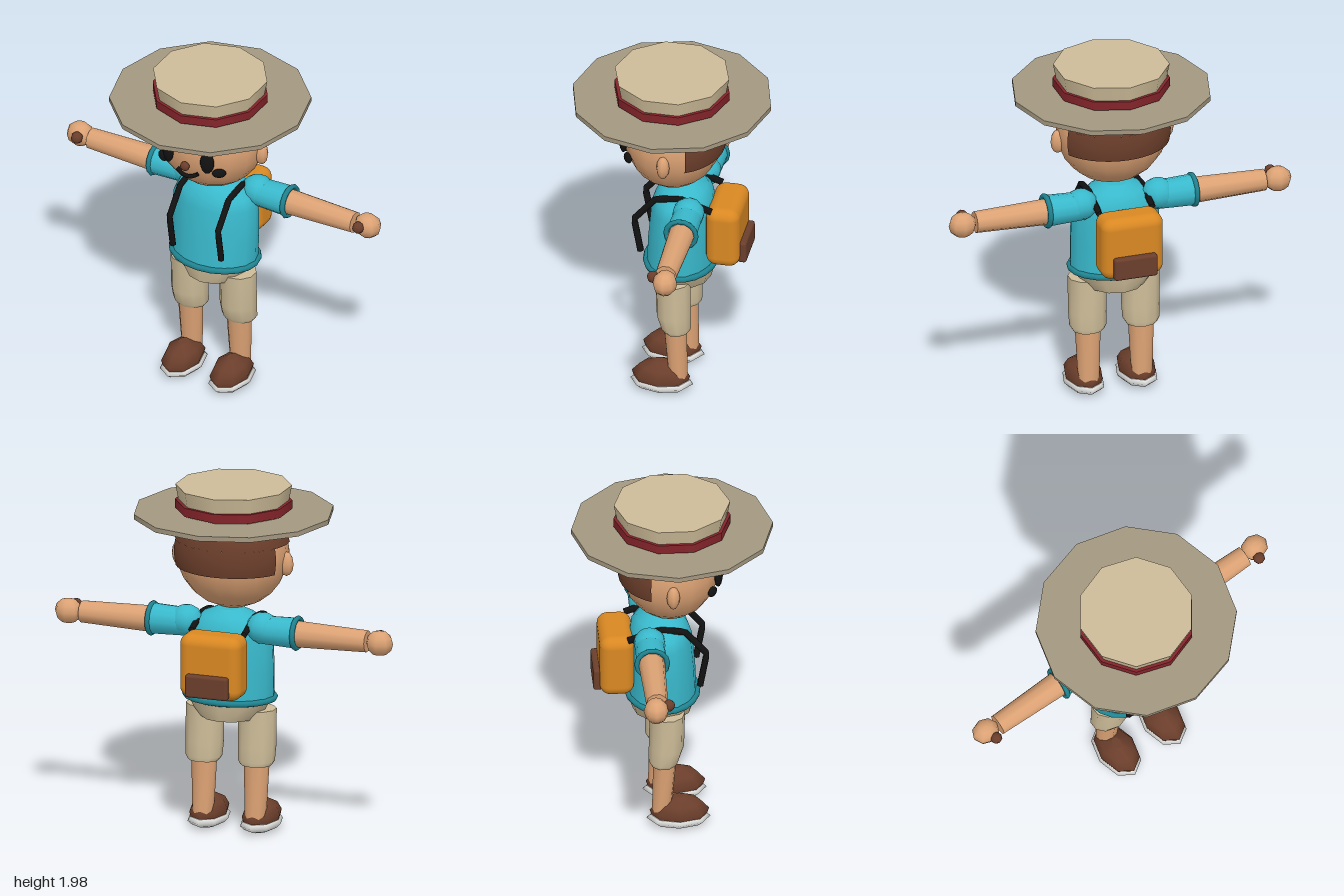
import * as THREE from 'three';
import { RoundedBoxGeometry } from 'three/addons/geometries/RoundedBoxGeometry.js';

const material = (name, color, side = THREE.FrontSide) =>
  Object.assign(new THREE.MeshStandardMaterial({ color, side }), { name });

// Lofts elliptical rings [y, rx, rz, centreZ] from bottom to top, with flat caps.
function loft(rings, sides) {
  const pos = [], index = [];
  const addRing = ([y, rx, rz, cz = 0]) => {
    for (let i = 0; i < sides; i++) {
      const a = (i / sides) * Math.PI * 2;
      pos.push(rx * Math.sin(a), y, cz + rz * Math.cos(a));
    }
  };
  rings.forEach(addRing);
  for (let r = 0; r < rings.length - 1; r++) {
    for (let i = 0; i < sides; i++) {
      const j = (i + 1) % sides, a = r * sides, b = a + sides;
      index.push(a + i, a + j, b + j, a + i, b + j, b + i);
    }
  }
  for (const top of [false, true]) {
    const start = pos.length / 3;
    addRing(top ? rings[rings.length - 1] : rings[0]);
    for (let i = 1; i < sides - 1; i++) {
      index.push(start, start + (top ? i : i + 1), start + (top ? i + 1 : i));
    }
  }
  const g = new THREE.BufferGeometry();
  g.setAttribute('position', new THREE.Float32BufferAttribute(pos, 3));
  g.setIndex(index);
  g.computeVertexNormals();
  return g;
}

const ball = (rx, ry, rz, w = 12, h = 8) => new THREE.SphereGeometry(1, w, h).scale(rx, ry, rz);

function tube(points, radius, segments = 12, smooth = true) {
  const pts = points.map((p) => new THREE.Vector3(...p));
  let curve = new THREE.CatmullRomCurve3(pts);
  if (!smooth) {
    curve = new THREE.CurvePath();
    for (let i = 1; i < pts.length; i++) curve.add(new THREE.LineCurve3(pts[i - 1], pts[i]));
  }
  return new THREE.TubeGeometry(curve, segments, radius, 6);
}

export function createModel() {
  const model = new THREE.Group();
  model.name = 'hikerFigure';
  const skin = material('skin', 0xdca274);
  const shirt = material('shirt', 0x39b9cc);
  const trim = material('shirtTrim', 0x1f8491);
  const tan = material('tanCloth', 0xcdbc98);
  const brimCloth = material('brimCloth', 0xa39780);
  const brown = material('brown', 0x6b3e2b, THREE.DoubleSide);
  const black = material('black', 0x121212, THREE.DoubleSide);
  const red = material('hatBandRed', 0x84242a);
  const orange = material('packOrange', 0xd98822);
  const white = material('soleWhite', 0xe6e6e4);

  const add = (name, geometry, mat, x = 0, y = 0, z = 0) => {
    const mesh = new THREE.Mesh(geometry, mat);
    mesh.name = name;
    mesh.position.set(x, y, z);
    model.add(mesh);
    return mesh;
  };

  // Hat
  add('hatBrim', new THREE.CylinderGeometry(0.56, 0.56, 0.028, 12), brimCloth, 0, 1.815);
  add('hatCrown', new THREE.CylinderGeometry(0.323, 0.295, 0.15, 10), tan, 0, 1.9);
  add('hatBand', new THREE.CylinderGeometry(0.325, 0.325, 0.05, 10), red, 0, 1.865);

  // Head and hair: a cap over the crown plus a lower panel at the back
  const headZ = -0.015;
  add('head', ball(0.32, 0.32, 0.28, 16, 12), skin, 0, 1.6, headZ);
  const hairPanel = (name, phi, t0, t1) => add(name,
    new THREE.SphereGeometry(1, 14, 4, Math.PI + phi, Math.PI - 2 * phi, t0, t1 - t0)
      .scale(0.332, 0.332, 0.292), brown, 0, 1.6, headZ);
  hairPanel('hairCap', -0.17, 0.6, 1.36);
  hairPanel('hairBack', 0.43, 1.36, 1.82);

  // Face centre
  add('nose', ball(0.028, 0.028, 0.022), brown, 0, 1.53, 0.28);
  add('mouth', tube([[-0.065, 1.48, 0.248], [-0.035, 1.462, 0.256], [0, 1.456, 0.26],
    [0.035, 1.462, 0.256], [0.065, 1.48, 0.248]], 0.012), black);

  // Torso, hem and hips
  add('torso', loft([[0.78, 0.255, 0.19, -0.055], [0.95, 0.257, 0.185, -0.057],
    [1.14, 0.253, 0.175, -0.065], [1.2, 0.225, 0.16, -0.07], [1.255, 0.155, 0.13, -0.07],
    [1.29, 0.07, 0.07, -0.07]], 16), shirt);
  add('shirtHem', new THREE.TorusGeometry(1, 0.09, 8, 20).rotateX(Math.PI / 2)
    .scale(0.25, 0.2, 0.195), trim, 0, 0.78, -0.055);
  add('shortsHips', loft([[0.665, 0.165, 0.165, -0.055], [0.72, 0.21, 0.178, -0.058],
    [0.79, 0.25, 0.185, -0.06]], 12), tan);

  // Backpack
  add('backpack', new RoundedBoxGeometry(0.36, 0.365, 0.19, 4, 0.06), orange, 0, 1.02, -0.315);
  add('backpackPocket', new RoundedBoxGeometry(0.25, 0.13, 0.05, 2, 0.015), brown, 0, 0.92, -0.42);

  for (const s of [1, -1]) {
    const side = s > 0 ? 'left' : 'right';

    // Ear and face details
    add(side + 'Ear', ball(0.042, 0.07, 0.037, 8, 6), skin, s * 0.318, 1.555, -0.015);
    add(side + 'Eye', ball(0.04, 0.07, 0.022), black, s * 0.125, 1.575, 0.25)
      .rotation.y = s * 0.35;
    add(side + 'Cheek', ball(0.04, 0.028, 0.02), black, s * 0.18, 1.503, 0.212)
      .rotation.y = s * 0.55;
    add(side + 'Brow', tube([[s * 0.078, 1.658, 0.253], [s * 0.103, 1.672, 0.248],
      [s * 0.132, 1.654, 0.243]], 0.011, 8), black);

    // Arm: shoulder puff, sleeve, cuff, forearm, hand and thumb
    const alongX = (top, bottom, length, n) =>
      new THREE.CylinderGeometry(top, bottom, length, n).rotateZ(-s * Math.PI / 2);
    add(side + 'Shoulder', ball(0.095, 0.088, 0.09, 10, 8), shirt, s * 0.225, 1.21, -0.14);
    add(side + 'Sleeve', alongX(0.088, 0.08, 0.22, 12), shirt, s * 0.32, 1.2, -0.14);
    add(side + 'Cuff', new THREE.TorusGeometry(0.085, 0.015, 6, 14).rotateY(Math.PI / 2),
      trim, s * 0.428, 1.2, -0.14);
    add(side + 'Arm', alongX(0.061, 0.075, 0.46, 10), skin, s * 0.615, 1.196, -0.142);
    add(side + 'Hand', ball(0.08, 0.072, 0.07, 8, 6), skin, s * 0.92, 1.196, -0.152);
    add(side + 'Thumb', ball(0.034, 0.034, 0.034, 8, 6), brown, s * 0.9, 1.215, -0.08);

    // Backpack strap
    add(side + 'Strap', tube([[0.885, 0.145], [1.09, 0.182], [1.235, 0.06], [1.25, -0.08],
      [1.19, -0.255]].map(([y, z]) => [s * 0.155, y, z]), 0.019, 24, false), black);

    // Leg, shorts and shoe
    const legX = s * 0.155;
    add(side + 'ShortsLeg', loft([[0.395, 0.09, 0.075, -0.06], [0.42, 0.105, 0.085, -0.055],
      [0.5, 0.107, 0.098, -0.042], [0.715, 0.108, 0.098, -0.037]], 10), tan, legX);
    add(side + 'Leg', loft([[0.09, 0.06, 0.054, -0.068], [0.42, 0.073, 0.065, -0.05]], 10),
      skin, legX);
    add(side + 'Shoe', loft([[0.045, 0.095, 0.15, 0.03], [0.09, 0.105, 0.165, 0.03],
      [0.14, 0.085, 0.12, 0.03], [0.178, 0.025, 0.035, 0.03]], 8), brown, legX);
    add(side + 'Sole', loft([[0, 0.06, 0.1, 0.025], [0.015, 0.09, 0.145, 0.025],
      [0.04, 0.113, 0.178, 0.025], [0.06, 0.1, 0.155, 0.025]], 8), white, legX);
  }
  return model;
}
